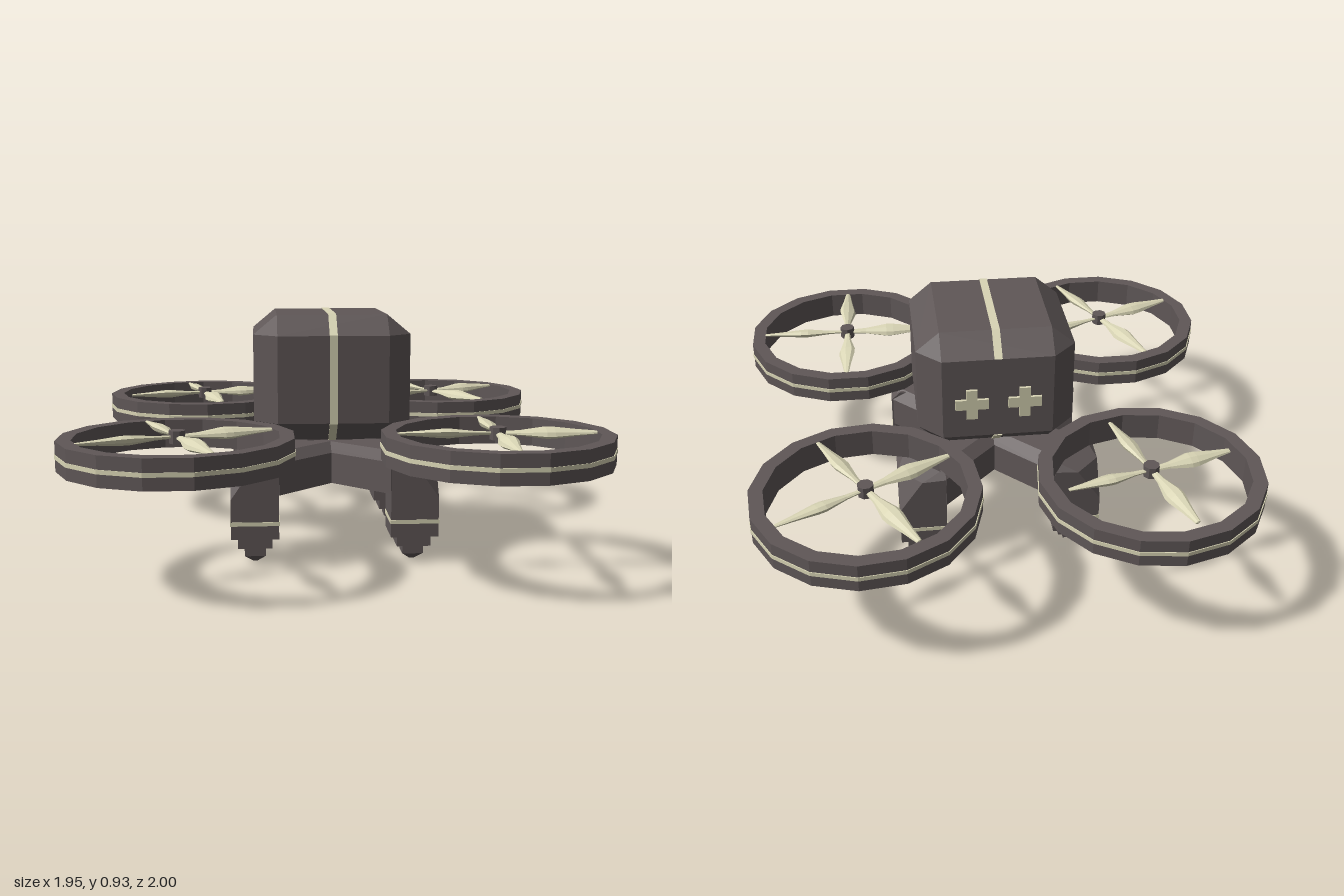
import * as THREE from 'three';
import { ConvexGeometry } from 'three/addons/geometries/ConvexGeometry.js';

const dark = new THREE.MeshStandardMaterial({ color: 0x5f5757, flatShading: true });
const cream = new THREE.MeshStandardMaterial({ color: 0xd9d5b5, flatShading: true });

const MID_Z = 0.012; // centre of body and frame along z

function add(parent, name, geometry, material, x = 0, y = 0, z = 0) {
  const mesh = new THREE.Mesh(geometry, material);
  mesh.name = name;
  mesh.position.set(x, y, z);
  parent.add(mesh);
  return mesh;
}

const hull = (points) => new ConvexGeometry(points.map((p) => new THREE.Vector3(...p)));

// Box with every edge cut: c is the cut along x and z, cv the cut along y
function chamferBox(hx, hy, hz, c, cv) {
  const pts = [];
  for (const a of [-1, 1]) for (const b of [-1, 1]) for (const d of [-1, 1]) {
    pts.push([a * hx, b * (hy - cv), d * (hz - c)]);
    pts.push([a * (hx - c), b * (hy - cv), d * hz]);
    pts.push([a * (hx - c), b * hy, d * (hz - c)]);
  }
  return hull(pts);
}

// Prism ring with rectangular section, axis along y
function ringGeometry(inner, outer, height, sides) {
  const h = height / 2;
  const profile = [[inner, -h], [outer, -h], [outer, h], [inner, h], [inner, -h]];
  return new THREE.LatheGeometry(profile.map((p) => new THREE.Vector2(...p)), sides);
}

function makeBody() {
  const body = new THREE.Group();
  body.name = 'body';
  const hx = 0.3, hy = 0.24, hz = 0.3, c = 0.09, cv = 0.075;
  add(body, 'shell', chamferBox(hx, hy, hz, c, cv), dark);

  // Band over the top, front and underside, open at the back
  const path = [
    [-hz, hy - cv], [-hz + c, hy], [hz - c, hy], [hz, hy - cv],
    [hz, cv - hy], [hz - c, -hy], [c - hz, -hy], [-hz, cv - hy],
  ];
  const grow = (k) => path.map(([z, y]) => new THREE.Vector2(z * k, y * k));
  const shape = new THREE.Shape([...grow(1.012), ...grow(0.96).reverse()]);
  const band = new THREE.ExtrudeGeometry(shape, { depth: 0.03, bevelEnabled: false });
  band.translate(0, 0, -0.015).rotateY(-Math.PI / 2);
  add(body, 'bodyStripe', band, cream);

  // Pair of raised plus marks on the back
  for (const s of [-1, 1]) {
    const plus = new THREE.Group();
    plus.name = 'backPlus';
    plus.position.set(s * 0.1, -0.02, -hz);
    add(plus, 'plusUpright', new THREE.BoxGeometry(0.042, 0.125, 0.022), cream);
    for (const t of [-1, 1]) {
      add(plus, 'plusArm', new THREE.BoxGeometry(0.042, 0.042, 0.022), cream, t * 0.042);
    }
    body.add(plus);
  }
  body.position.set(0, 0.69, MID_Z);
  return body;
}

function makeFrame() {
  const frame = new THREE.Group();
  frame.name = 'frame';
  frame.position.z = MID_Z;

  // Two crossing beams with cut upper edges
  for (const s of [-1, 1]) {
    const pts = [];
    for (const l of [-0.42, 0.42]) for (const w of [-1, 1]) {
      pts.push([l, 0.27, w * 0.125], [l, 0.39, w * 0.125], [l, 0.425, w * 0.08]);
    }
    add(frame, 'crossBeam', hull(pts), dark).rotation.y = s * Math.PI / 4;
  }
  add(frame, 'plinth', new THREE.BoxGeometry(0.18, 0.06, 0.18), dark, 0, 0.44, 0);

  for (const sx of [-1, 1]) for (const sz of [-1, 1]) {
    const leg = new THREE.Group();
    leg.name = 'leg';
    leg.position.set(sx * 0.3, 0, sz * 0.3);
    const r = 0.09;
    // Square post whose outer top corner is sliced away
    const pts = [
      [r, 0.104, r], [r, 0.104, -r], [-r, 0.104, r], [-r, 0.104, -r],
      [r, 0.255, r], [r, 0.39, -r], [-r, 0.39, r], [r, 0.385, 0], [0, 0.385, r],
      [0.055, 0.422, -r], [-r, 0.422, 0.055], [-r, 0.422, -r],
    ].map(([x, y, z]) => [x * sx, y, z * sz]);
    add(leg, 'post', hull(pts), dark);
    add(leg, 'legStripe', new THREE.BoxGeometry(0.185, 0.015, 0.185), cream, 0, 0.163, 0);
    // Stepped foot ending in a blunt point
    add(leg, 'upperStep', new THREE.BoxGeometry(0.128, 0.045, 0.128), dark, 0, 0.084, 0);
    add(leg, 'lowerStep', new THREE.BoxGeometry(0.08, 0.04, 0.08), dark, 0, 0.046, 0);
    const tip = new THREE.CylinderGeometry(0.0565, 0.012, 0.027, 4).rotateY(Math.PI / 4);
    add(leg, 'footTip', tip, dark, 0, 0.0135, 0);
    frame.add(leg);
  }
  return frame;
}

function makeRotor(x, z, ringTurn, bladeTurn, length) {
  const rotor = new THREE.Group();
  rotor.name = 'rotor';
  rotor.position.set(x, 0, z);

  const guard = new THREE.Group();
  guard.name = 'guard';
  guard.rotation.y = ringTurn;
  add(guard, 'guardRing', ringGeometry(0.363, 0.416, 0.106, 16), dark, 0, 0.48, 0);
  add(guard, 'guardStripe', ringGeometry(0.405, 0.419, 0.015, 16), cream, 0, 0.479, 0);
  rotor.add(guard);

  const propeller = new THREE.Group();
  propeller.name = 'propeller';
  propeller.position.y = 0.53;
  propeller.rotation.y = bladeTurn;
  add(propeller, 'hub', new THREE.CylinderGeometry(0.03, 0.03, 0.045, 8), dark);
  // Spindle-shaped blades, flattened and slightly pitched
  const profile = [[0, 0.02], [0.012, 0.025], [0.016, 0.08], [0.035, 0.17], [0.034, 0.2], [0.02, 0.28], [0.01, 0.355], [0, 0.357]]
    .map(([w, l]) => new THREE.Vector2(w, l * length / 0.357));
  const bladeGeometry = new THREE.LatheGeometry(profile, 8)
    .scale(1, 1, 0.5).rotateZ(-Math.PI / 2).rotateX(Math.PI / 2 + 0.3);
  for (let i = 0; i < 4; i++) {
    add(propeller, 'blade', bladeGeometry, cream).rotation.y = i * Math.PI / 2;
  }
  rotor.add(propeller);
  return rotor;
}

export function createModel() {
  const model = new THREE.Group();
  model.name = 'quadcopter';
  model.add(makeBody(), makeFrame());
  const deg = Math.PI / 180;
  // x, z, guard turn, propeller turn, blade length
  const rotors = [
    [0.565, 0.587, 11.25, -1, 0.36],
    [-0.567, 0.587, 11.25, 22, 0.36],
    [0.51, -0.585, -5, 29, 0.355],
    [-0.523, -0.587, 4, 15, 0.33],
  ];
  for (const [x, z, ring, blades, length] of rotors) {
    model.add(makeRotor(x, z, ring * deg, blades * deg, length));
  }
  return model;
}
